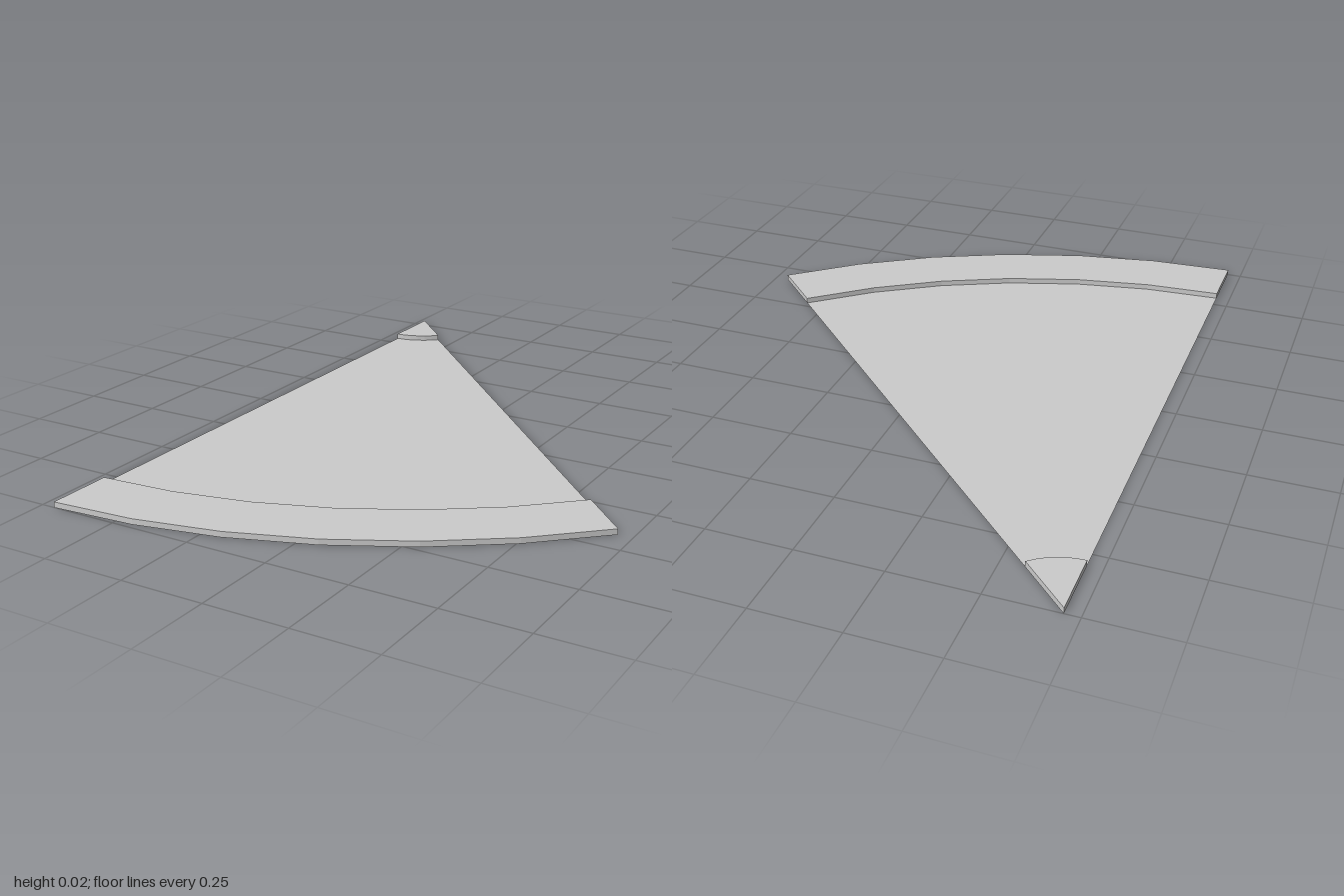
import * as THREE from 'three';

const RADIUS = 2, HUB = 0.2, RIM = 1.8, HEIGHT = 0.017;
const ANGLE = Math.PI / 4, SEGMENTS = 6;

// Points on an arc about the apex, from the straight side to the diagonal side
function arc(radius) {
  return Array.from({ length: SEGMENTS + 1 }, (_, i) => {
    const a = (i / SEGMENTS) * ANGLE;
    return new THREE.Vector2(radius * Math.sin(a), radius * Math.cos(a));
  });
}

// Wedge sector between two radii; an inner radius of 0 runs to the apex
function sector(inner, outer) {
  const near = inner > 0 ? arc(inner).reverse() : [new THREE.Vector2(0, 0)];
  return new THREE.Shape([...arc(outer), ...near]);
}

export function createModel() {
  const group = new THREE.Group();
  group.name = 'wedgePlate';

  function add(name, geometry, lift, side) {
    geometry.rotateX(Math.PI / 2); // shape y becomes z
    geometry.translate(-Math.SQRT1_2, lift, -1);
    const material = new THREE.MeshStandardMaterial({ color: 0xcccccc, flatShading: true, side });
    const mesh = new THREE.Mesh(geometry, material);
    mesh.name = name;
    group.add(mesh);
  }

  const raised = (inner, outer) =>
    new THREE.ExtrudeGeometry(sector(inner, outer), { depth: HEIGHT, bevelEnabled: false });

  // Thin floor between the raised tip and the raised rim
  add('floor', new THREE.ShapeGeometry(sector(HUB, RIM)), 0, THREE.DoubleSide);
  add('hubTip', raised(0, HUB), HEIGHT, THREE.FrontSide);
  add('outerRim', raised(RIM, RADIUS), HEIGHT, THREE.FrontSide);

  return group;
}
